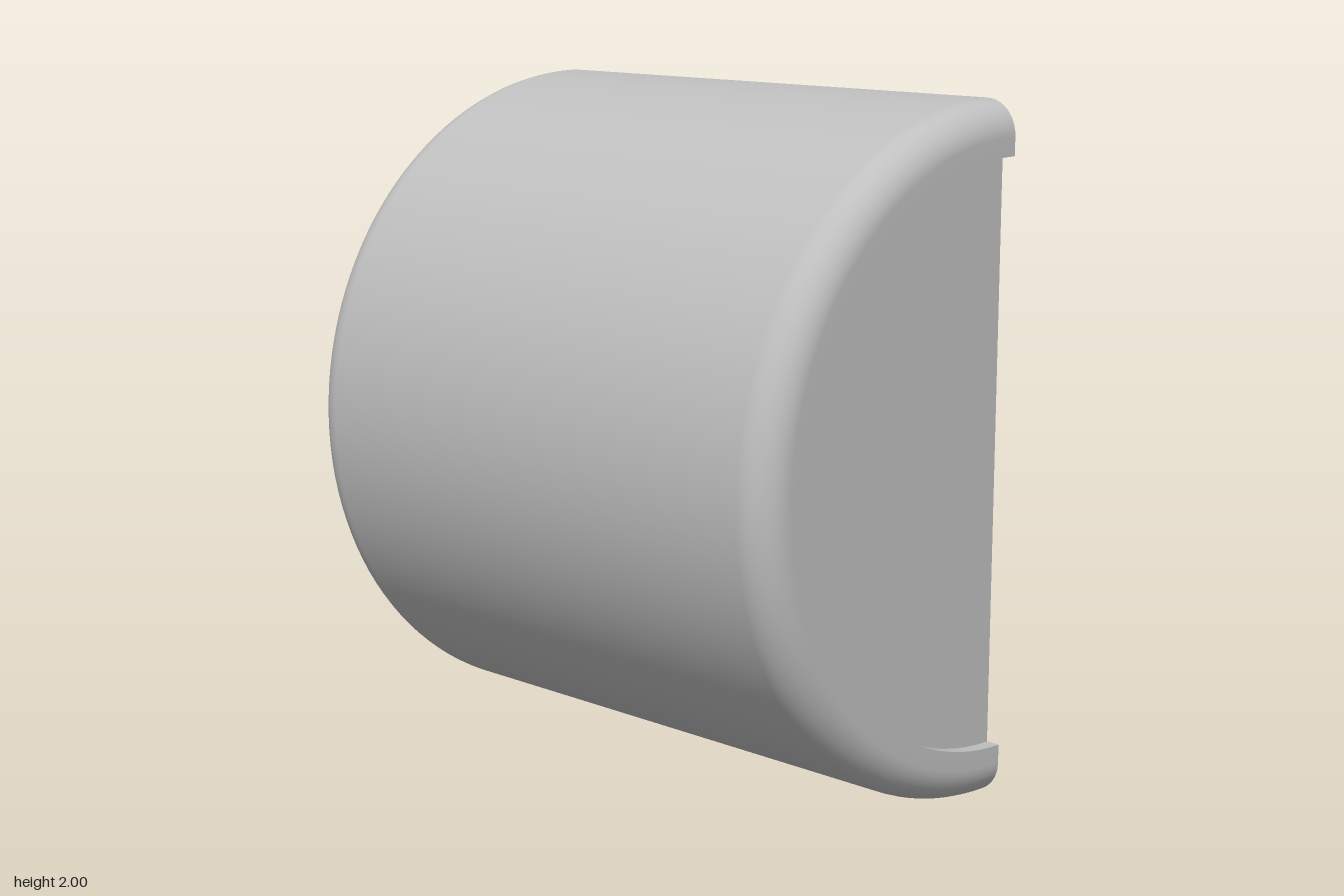
import * as THREE from 'three';

const R = 1, INNER = 0.945, RECESS = 0.845, HOLE = 0.2; // radii
const END = 0.93, WALL_OUT = 0.888, WALL_IN = 0.88, FILLET = 0.1; // distances along z
const AXIS_X = 0.5, AXIS_Y = 1;

// rounded outer corner, from startAngle through a quarter turn
function corner(z, startAngle, steps = 10) {
  return Array.from({ length: steps + 1 }, (_, i) => {
    const a = startAngle + (i / steps) * Math.PI / 2;
    return [R - FILLET + FILLET * Math.cos(a), z + FILLET * Math.sin(a)];
  });
}

export function createModel() {
  const model = new THREE.Group();
  model.name = 'halfDrumHousing';
  const grey = new THREE.MeshStandardMaterial({ color: 0xbfbfbf });
  grey.name = 'grey';

  function add(name, geometry) {
    const mesh = new THREE.Mesh(geometry, grey);
    mesh.name = name;
    mesh.position.set(AXIS_X, AXIS_Y, 0);
    model.add(mesh);
  }

  // half turn of an (r, z) profile about the z axis, on the -x side
  function halfTurn(name, points) {
    const profile = points.map(([r, z]) => new THREE.Vector2(r, z));
    add(name, new THREE.LatheGeometry(profile, 64, Math.PI, Math.PI).rotateX(Math.PI / 2));
  }

  const outer = [
    [RECESS, -END],
    ...corner(-END + FILLET, -Math.PI / 2),
    ...corner(END - FILLET, 0),
    [RECESS, END],
  ];

  // curved shell, outside and inside
  halfTurn('outerShell', outer);
  halfTurn('innerShell', [[INNER, WALL_IN], [INNER, -WALL_IN]]);

  // front end: recess lip and thin wall
  halfTurn('frontLip', [[RECESS, END], [RECESS, WALL_OUT]]);
  halfTurn('frontWallOutside', [[RECESS, WALL_OUT], [0, WALL_OUT]]);
  halfTurn('frontWallInside', [[0, WALL_IN], [INNER, WALL_IN]]);

  // back end: recess lip and thin wall with a shaft notch
  halfTurn('backLip', [[RECESS, -WALL_OUT], [RECESS, -END]]);
  halfTurn('backWallOutside', [[HOLE, -WALL_OUT], [RECESS, -WALL_OUT]]);
  halfTurn('backWallInside', [[INNER, -WALL_IN], [HOLE, -WALL_IN]]);
  halfTurn('shaftNotch', [[HOLE, -WALL_IN], [HOLE, -WALL_OUT]]);

  // flat section faces on the open side, upper and lower
  const section = [
    ...outer,
    [RECESS, WALL_OUT], [0, WALL_OUT], [0, WALL_IN], [INNER, WALL_IN],
    [INNER, -WALL_IN], [HOLE, -WALL_IN], [HOLE, -WALL_OUT], [RECESS, -WALL_OUT],
  ];
  const toSide = new THREE.Matrix4().set(0, 0, 1, 0, 1, 0, 0, 0, 0, 1, 0, 0, 0, 0, 0, 1);
  for (const [name, side] of [['upperRim', 1], ['lowerRim', -1]]) {
    const shape = new THREE.Shape(section.map(([r, z]) => new THREE.Vector2(side * r, z)));
    add(name, new THREE.ShapeGeometry(shape).applyMatrix4(toSide));
  }

  return model;
}
